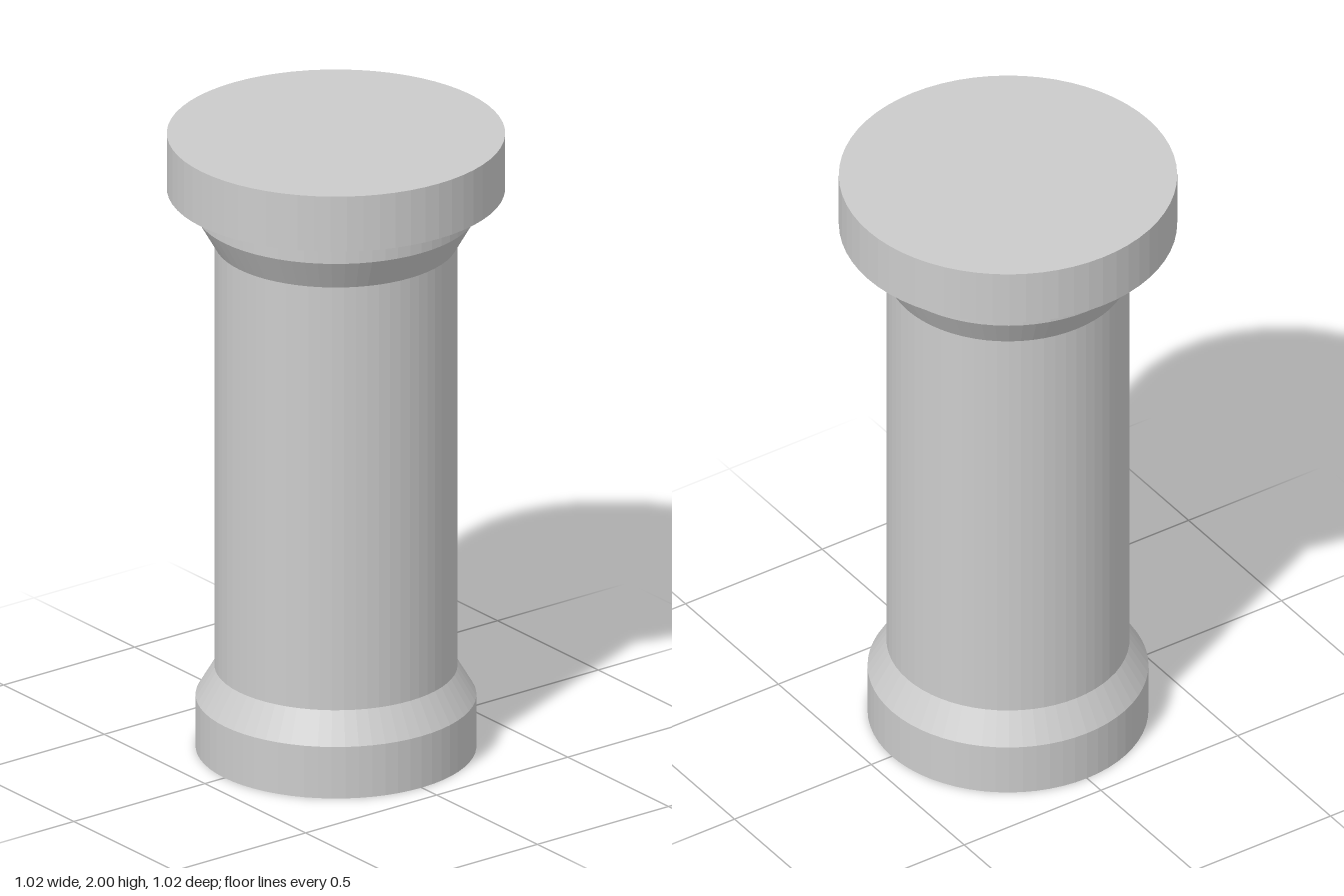
import * as THREE from 'three';

const SIDES = 64;

export function createModel() {
  const group = new THREE.Group();
  group.name = 'pillar';
  const material = new THREE.MeshStandardMaterial({ color: 0xcccccc, flatShading: true });

  // One round section between two heights, with optional end caps
  const addSection = (name, bottomRadius, topRadius, y0, y1, open = true) => {
    const geometry = new THREE.CylinderGeometry(topRadius, bottomRadius, y1 - y0, SIDES, 1, open);
    const mesh = new THREE.Mesh(geometry, material);
    mesh.name = name;
    mesh.position.y = (y0 + y1) / 2;
    group.add(mesh);
  };

  const shaft = 0.368, collar = 0.425, cap = 0.512;

  // Base and its taper up to the shaft
  addSection('base', collar, collar, 0, 0.168, false);
  addSection('baseTaper', collar, shaft, 0.168, 0.265);

  // Plain shaft
  addSection('shaft', shaft, shaft, 0.265, 1.645);

  // Flare, neck and overhanging cap
  addSection('neckFlare', shaft, collar, 1.645, 1.745);
  addSection('neck', collar, collar, 1.745, 1.82);
  addSection('cap', cap, cap, 1.82, 2, false);

  return group;
}
